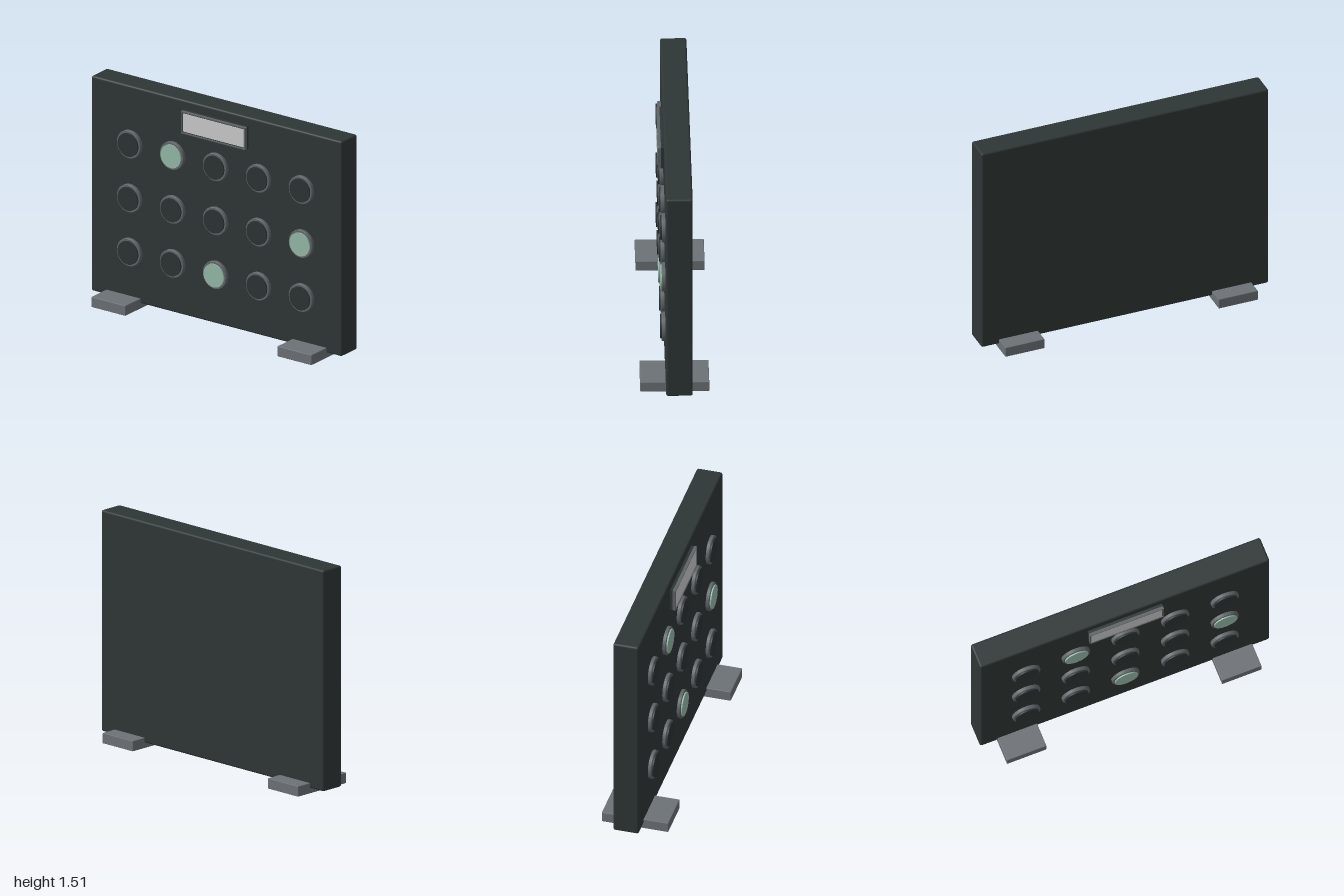
import * as THREE from 'three';
import { RoundedBoxGeometry } from 'three/addons/geometries/RoundedBoxGeometry.js';

const material = (name, color) => {
  const m = new THREE.MeshStandardMaterial({ color });
  m.name = name;
  return m;
};

export function createModel() {
  const casing = material('dark casing', 0x2e3635);
  const capDark = material('dark button', 0x2c3232);
  const capLit = material('lit button green', 0x94b9a9);
  const trim = material('grey trim', 0x5f6468);
  const footGrey = material('foot grey', 0x6c7176);
  const screenGrey = material('screen light grey', 0xcacacc);

  const model = new THREE.Group();
  model.name = 'buttonPanel';
  const add = (name, geometry, mat, x, y, z, parent = model) => {
    const mesh = new THREE.Mesh(geometry, mat);
    mesh.name = name;
    mesh.position.set(x, y, z);
    parent.add(mesh);
    return mesh;
  };

  // Upright casing with softened edges
  const front = 0.058;
  add('casing', new RoundedBoxGeometry(2, 1.48, 0.171, 3, 0.014), casing, 0, 0.775, -0.0275);

  // Two feet, running front to back
  for (const side of [-1, 1]) {
    add(side > 0 ? 'leftFoot' : 'rightFoot',
      new RoundedBoxGeometry(0.273, 0.07, 0.444, 2, 0.004), footGrey, side * 0.743, 0.035, 0);
  }

  // Button grid: a bevelled bezel and a raised flat cap each
  const bezel = new THREE.LatheGeometry([
    [0.095, 0], [0.095, 0.019], [0.095, 0.019], [0.092, 0.023], [0.092, 0.023], [0.076, 0.023],
  ].map(([r, h]) => new THREE.Vector2(r, h)), 40).rotateX(Math.PI / 2);
  const cap = new THREE.CylinderGeometry(0.08, 0.08, 0.032, 40).rotateX(Math.PI / 2);
  const lit = ['0,1', '1,4', '2,2'];
  for (let row = 0; row < 3; row++) {
    for (let col = 0; col < 5; col++) {
      const button = new THREE.Group();
      button.name = `button${row * 5 + col + 1}`;
      button.position.set((col - 2) * 0.343, 1.118 - row * 0.3715, front);
      add('bezel', bezel, trim, 0, 0, 0, button);
      add('cap', cap, lit.includes(`${row},${col}`) ? capLit : capDark, 0, 0, 0.016, button);
      model.add(button);
    }
  }

  // Display: dark base, thin grey frame, recessed light screen
  const display = new THREE.Group();
  display.name = 'display';
  display.position.set(0, 1.376, front);
  model.add(display);
  add('displayBase', new THREE.BoxGeometry(0.51, 0.152, 0.018), casing, 0, 0, 0.009, display);

  const rect = (shape, w, h) => shape.moveTo(-w, -h).lineTo(w, -h).lineTo(w, h).lineTo(-w, h).closePath();
  const frame = rect(new THREE.Shape(), 0.256, 0.076);
  frame.holes.push(rect(new THREE.Path(), 0.249, 0.069));
  add('displayFrame', new THREE.ExtrudeGeometry(frame, { depth: 0.02, bevelEnabled: false }),
    trim, 0, 0, 0.018, display);
  add('displayInset', new THREE.BoxGeometry(0.498, 0.138, 0.012), capDark, 0, 0, 0.024, display);
  add('screen', new THREE.BoxGeometry(0.484, 0.124, 0.004), screenGrey, 0, 0, 0.032, display);

  return model;
}
